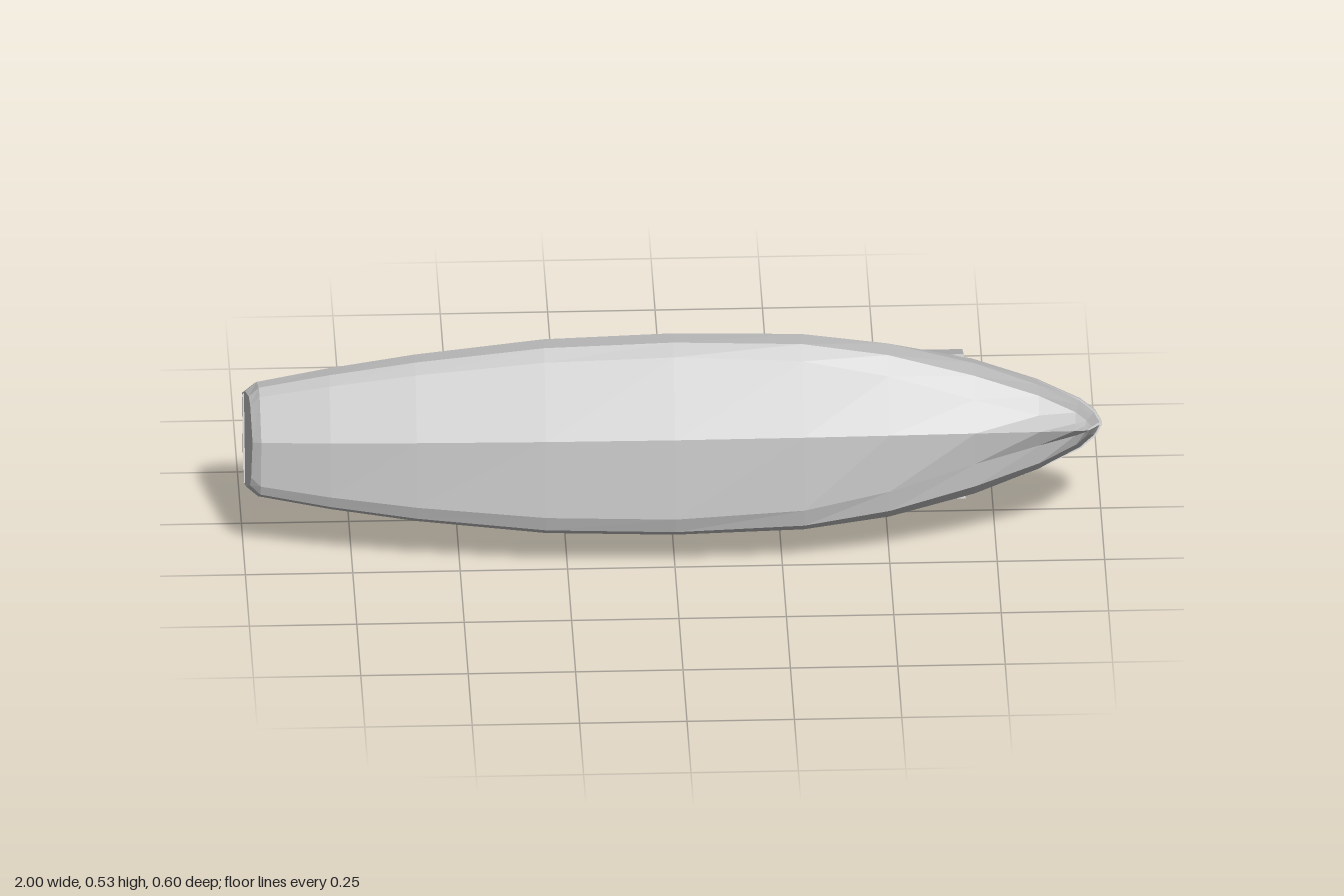
import * as THREE from 'three';

export function createModel() {
  const model = new THREE.Group();
  const grey = new THREE.MeshStandardMaterial({ color: 0xbfbfbf, flatShading: true, side: THREE.DoubleSide });
  grey.name = 'hull grey';

  // The ship is built upright (bow +x, up +y, side z), then laid on its side
  const ship = new THREE.Group();
  ship.name = 'ship';
  ship.rotation.x = -1.949;
  model.add(ship);
  const C = 0.22; // centreline in z
  const DECK = -0.195;

  function add(name, geo, x = 0, y = 0, z = 0, parent = ship) {
    const m = new THREE.Mesh(geo, grey);
    m.name = name;
    m.position.set(x, y, z);
    parent.add(m);
    return m;
  }
  // Box given by its limits
  function block(name, x0, x1, y0, y1, z0, z1) {
    return add(name, new THREE.BoxGeometry(x1 - x0, y1 - y0, z1 - z0), (x0 + x1) / 2, (y0 + y1) / 2, (z0 + z1) / 2);
  }
  // Surface through rows of equal length
  function loft(rows) {
    const pos = [], idx = [], n = rows[0].length;
    rows.forEach(r => r.forEach(p => pos.push(...p)));
    for (let i = 0; i < rows.length - 1; i++) {
      for (let j = 0; j < n - 1; j++) {
        const a = i * n + j, b = a + n;
        idx.push(a, a + 1, b, b, a + 1, b + 1);
      }
    }
    const g = new THREE.BufferGeometry();
    g.setAttribute('position', new THREE.Float32BufferAttribute(pos, 3));
    g.setIndex(idx);
    g.computeVertexNormals();
    return g;
  }

  // Stations: x, rail half width, widest half width, chine half width, rail height, keel height, rake
  const stations = [
    [-1.0, 0.105, 0.112, 0.085, -0.165, -0.262, -0.02],
    [-0.97, 0.127, 0.134, 0.105, -0.163, -0.278, -0.01],
    [-0.8, 0.15, 0.165, 0.13, -0.172, -0.31, 0],
    [-0.6, 0.18, 0.195, 0.155, -0.18, -0.335, 0],
    [-0.3, 0.212, 0.227, 0.182, -0.187, -0.358, 0],
    [0, 0.222, 0.236, 0.19, -0.187, -0.368, 0],
    [0.3, 0.215, 0.229, 0.175, -0.187, -0.362, 0],
    [0.5, 0.195, 0.203, 0.135, -0.187, -0.352, 0],
    [0.7, 0.157, 0.153, 0.075, -0.184, -0.34, 0],
    [0.85, 0.106, 0.098, 0.035, -0.176, -0.332, 0],
    [0.95, 0.058, 0.048, 0.014, -0.168, -0.328, 0.02],
    [0.985, 0.03, 0.022, 0.007, -0.164, -0.325, 0.035],
    [1.0, 0.003, 0.003, 0.002, -0.162, -0.322, 0.04],
  ];
  const sections = stations.map(([x, rail, wide, chine, top, keel, rake]) => {
    const half = [[0, rail], [0.32, wide], [0.68, wide * 0.7 + chine * 0.3], [0.81, chine]];
    const ring = [...half, [1, 0], ...half.map(([t, w]) => [t, -w]).reverse()];
    return ring.map(([t, w]) => [x - rake * t, top + (keel - top) * t, C + w]);
  });
  add('hull', loft(sections));

  // Flat stern plate
  const stern = sections[0];
  const mid = [-0.99, -0.21, C];
  add('transom', loft([[...stern, stern[0]], [...stern, stern[0]].map(() => mid)]));

  // Deck sits just inside the rail
  add('deck', loft(stations.map(([x, rail, , , top]) =>
    [-1, 1].map(s => [x, Math.min(top - 0.01, DECK + (top + 0.187) * 0.5), C + s * rail * 0.985]))));

  // Container stacks: x from, x to, number of columns
  const col = 0.068;
  [[0.16, 0.416, 5], [0.421, 0.68, 5], [0.684, 0.81, 3],
    [-0.476, -0.22, 5], [-0.61, -0.481, 5], [-0.75, -0.614, 3]].forEach(([x0, x1, n]) => {
    for (let i = 0; i < n; i++) {
      const z = C + (i - n / 2) * col;
      block('container', x0, x1, DECK, -0.097, z + 0.001, z + col - 0.001);
    }
  });

  // Deckhouse with a tapered bridge on it, set to one side
  block('funnelBase', -0.22, -0.1, DECK, -0.132, 0.007, 0.16);
  block('deckhouse', -0.12, 0.12, DECK, -0.132, 0.007, 0.238);
  const frame = (y, x0, x1, z0, z1) => [[x0, y, z0], [x1, y, z0], [x1, y, z1], [x0, y, z1], [x0, y, z0]];
  const cap = [-0.015, -0.053, 0.12];
  add('bridge', loft([
    frame(-0.132, -0.12, 0.12, 0.007, 0.238),
    frame(-0.053, -0.08, 0.05, 0.047, 0.193),
    [cap, cap, cap, cap, cap],
  ]));

  // Three funnels leaning aft
  for (let i = 0; i < 3; i++) {
    const f = add('funnel', new THREE.CylinderGeometry(0.016, 0.016, 0.185, 12), -0.178 + i * 0.052, -0.058, 0.108);
    f.rotation.z = 0.2;
  }

  // Mast and radar dish
  add('mast', new THREE.CylinderGeometry(0.0015, 0.0025, 0.335, 6), -0.045, 0.1115, 0.111);
  add('radarStem', new THREE.CylinderGeometry(0.002, 0.002, 0.025, 6), -0.02, -0.043, 0.149);
  const dish = add('radarDish', new THREE.SphereGeometry(0.012, 10, 6), -0.02, -0.03, 0.149);
  dish.scale.set(0.6, 1, 0.6);
  dish.rotation.x = 0.5;

  // Forecastle house
  block('forecastleHouse', 0.85, 0.92, DECK, -0.135, C - 0.04, C + 0.04);

  return model;
}
